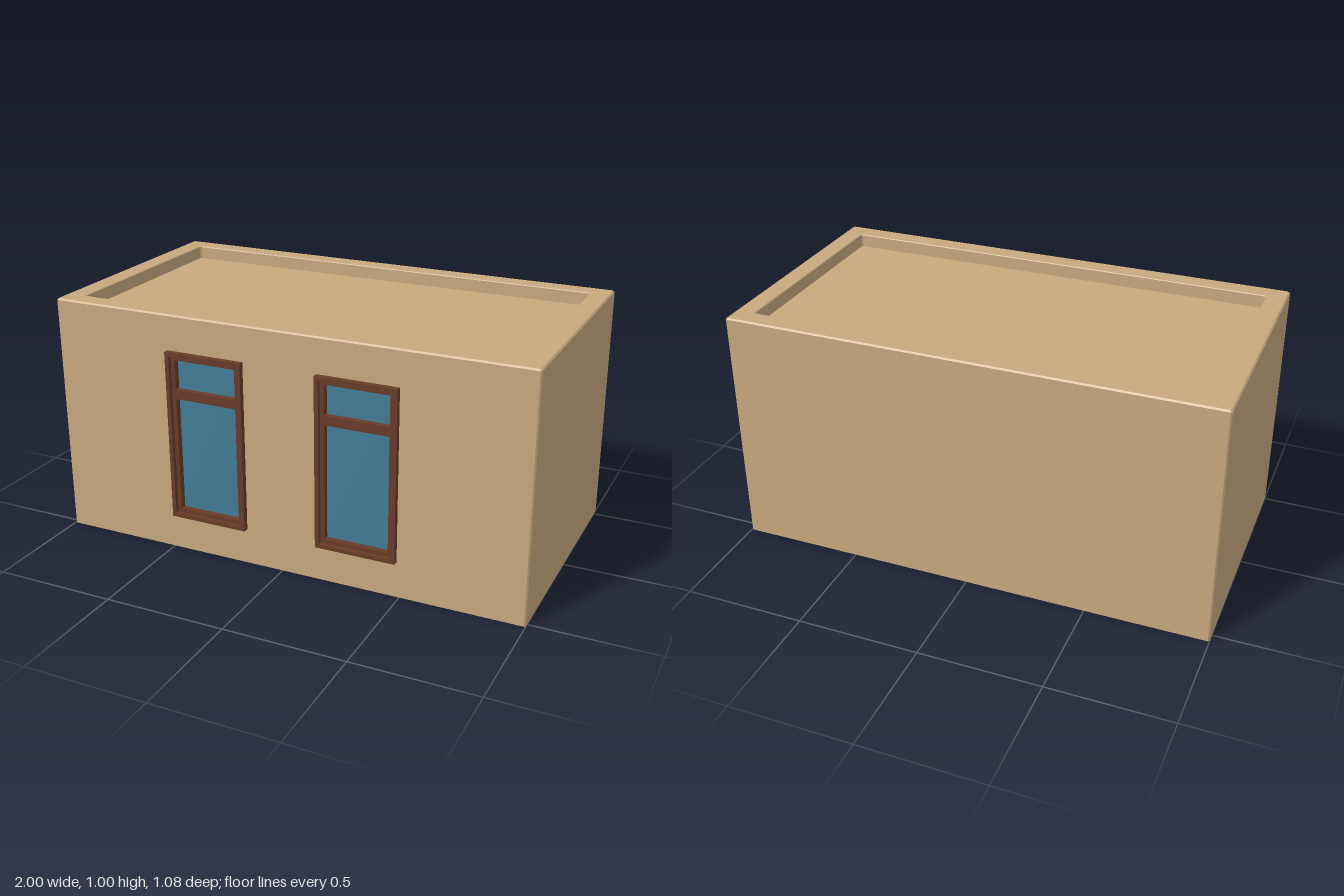
import * as THREE from 'three';

const wallMat = new THREE.MeshStandardMaterial({ color: 0xc9a97f, side: THREE.DoubleSide });
wallMat.name = 'sand wall';
const frameMat = new THREE.MeshStandardMaterial({ color: 0x683c28 });
frameMat.name = 'brown wood';
const glassMat = new THREE.MeshStandardMaterial({ color: 0x427c96 });
glassMat.name = 'blue glass';

const X = 1, FRONT = 0.52, BACK = -0.54, BEVEL = 0.006;
const WIN = { x: 0.321, w: 0.332, bottom: 0.15, top: 0.855 };

function mesh(name, geometry, material) {
  const m = new THREE.Mesh(geometry, material);
  m.name = name;
  return m;
}

// rectangle outline with chamfered corners, inset from the outer walls
function ring(inset, y) {
  const x = X - inset, f = FRONT - inset, b = BACK + inset, c = BEVEL;
  return [[-x + c, f], [x - c, f], [x, f - c], [x, b + c], [x - c, b], [-x + c, b], [-x, b + c], [-x, f - c]]
    .map(([px, pz]) => [px, y, pz]);
}

// walls, parapet and roof joined from stacked outlines; the front face is left open
function shellGeometry() {
  const rings = [ring(0, 0), ring(0, 1 - BEVEL), ring(BEVEL, 1), ring(0.08, 1), ring(0.083, 0.997), ring(0.083, 0.945)];
  const pos = [];
  const tri = (a, b, c) => pos.push(...a, ...b, ...c);
  for (let r = 0; r < rings.length - 1; r++) {
    const lo = rings[r], hi = rings[r + 1];
    for (let i = 0; i < 8; i++) {
      if (r === 0 && i === 0) continue;
      const j = (i + 1) % 8;
      tri(lo[i], lo[j], hi[j]);
      tri(lo[i], hi[j], hi[i]);
    }
  }
  const roof = rings[rings.length - 1];
  for (let i = 1; i < 7; i++) tri(roof[0], roof[i], roof[i + 1]);
  const g = new THREE.BufferGeometry();
  g.setAttribute('position', new THREE.Float32BufferAttribute(pos, 3));
  g.computeVertexNormals();
  return g;
}

function rect(Type, x0, x1, y0, y1) {
  const s = new Type();
  s.moveTo(x0, y0);
  s.lineTo(x1, y0);
  s.lineTo(x1, y1);
  s.lineTo(x0, y1);
  s.closePath();
  return s;
}

// rectangular frame with openings, extruded from z0 to z1
function frame(name, outer, holes, z0, z1) {
  const s = rect(THREE.Shape, ...outer);
  holes.forEach(h => s.holes.push(rect(THREE.Path, ...h)));
  const g = new THREE.ExtrudeGeometry(s, { depth: z1 - z0, bevelEnabled: false });
  g.translate(0, 0, z0);
  return mesh(name, g, frameMat);
}

function pane(name, w, y0, y1, z) {
  const g = new THREE.BoxGeometry(w, y1 - y0, 0.004);
  g.translate(0, (y0 + y1) / 2, z);
  return mesh(name, g, glassMat);
}

function makeWindow(name, x) {
  const win = new THREE.Group();
  win.name = name;
  const h = WIN.w / 2, a = 0.017, b = 0.034, { bottom, top } = WIN;
  const inner = [-h + a, h - a, bottom + a, top - a];
  win.add(
    frame('outerFrame', [-h, h, bottom, top], [inner], 0.47, 0.543),
    // sash with a large lower light and a small upper light
    frame('sash', inner, [[-h + b, h - b, bottom + b, 0.66], [-h + b, h - b, 0.698, top - b]], 0.47, 0.527),
    pane('frontGlass', WIN.w - 2 * a, bottom + a, top - a, 0.5),
    pane('backGlass', WIN.w, bottom, top, 0.468),
  );
  win.position.x = x;
  return win;
}

export function createModel() {
  const model = new THREE.Group();
  model.name = 'building';
  model.add(mesh('wallsAndRoof', shellGeometry(), wallMat));

  // front wall with two window openings
  const face = rect(THREE.Shape, -X + BEVEL, X - BEVEL, 0, 1 - BEVEL);
  for (const s of [-1, 1]) {
    const cx = s * WIN.x, h = WIN.w / 2;
    face.holes.push(rect(THREE.Path, cx - h, cx + h, WIN.bottom, WIN.top));
    model.add(makeWindow(s > 0 ? 'leftWindow' : 'rightWindow', cx));
  }
  const front = mesh('frontWall', new THREE.ShapeGeometry(face), wallMat);
  front.position.z = FRONT;
  model.add(front);
  return model;
}
